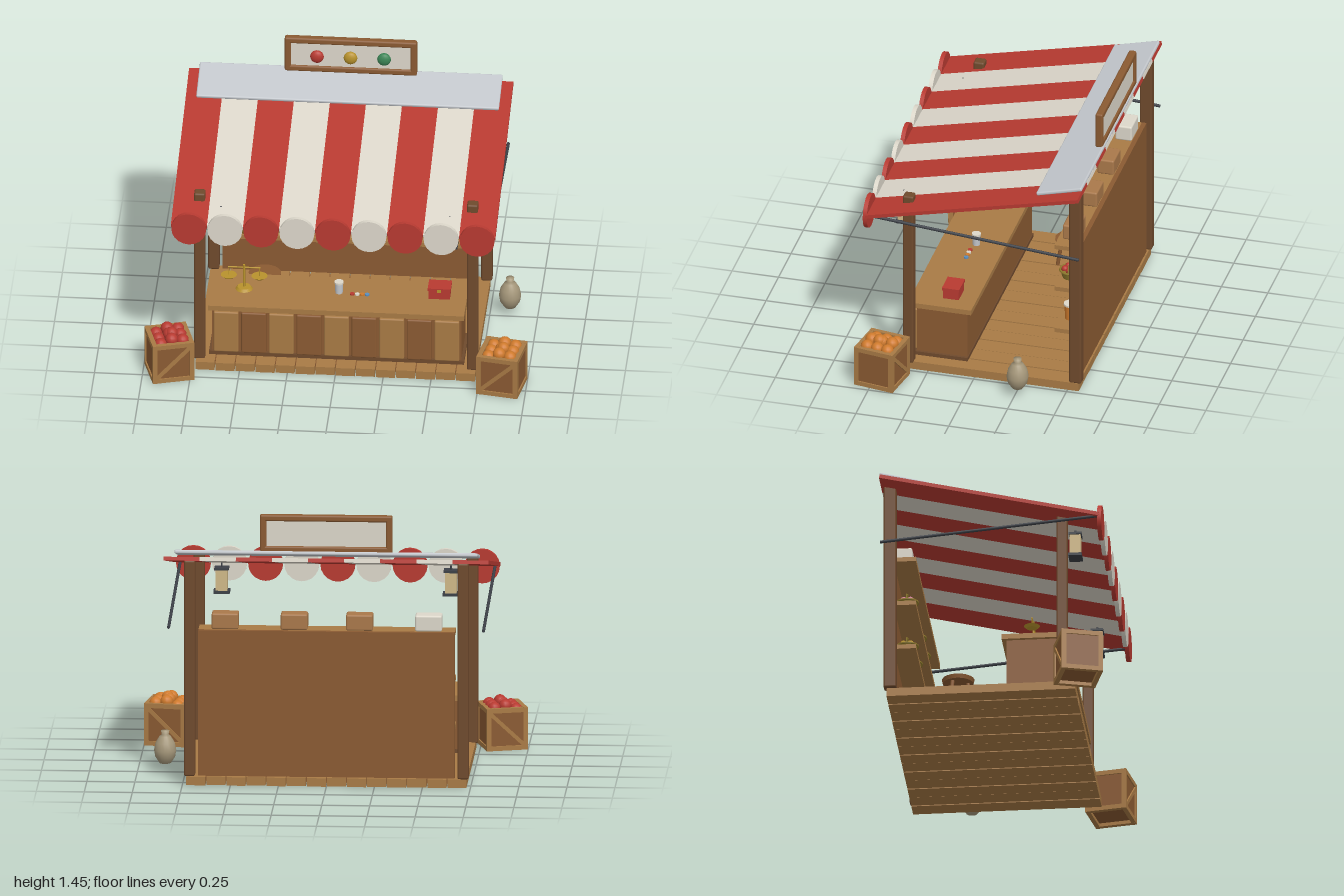
import * as THREE from 'three';
import { RoundedBoxGeometry } from 'three/addons/geometries/RoundedBoxGeometry.js';

const C = {
  wood: 0x8a5a32, light: 0xa87a45, dark: 0x6f4a2d, red: 0xb83a31, white: 0xdcd7ca, gold: 0xb8922c,
  green: 0x3c8556, iron: 0x3c4047, sack: 0xa5977a, orange: 0xcf7a2c, blue: 0x5a8fc0, basket: 0x8f7a2c,
  cap: 0xc4c8cd, pink: 0xc9798f, glass: 0xd0b988, card: 0xa9784a,
};
const mats = {};
const mat = (c) => (mats[c] ??= new THREE.MeshStandardMaterial({ color: C[c] }));

function add(parent, name, geo, color, x = 0, y = 0, z = 0) {
  const m = new THREE.Mesh(geo, mat(color));
  m.name = name;
  m.position.set(x, y, z);
  parent.add(m);
  return m;
}
const box = (p, name, c, w, h, d, x, y, z) => add(p, name, new THREE.BoxGeometry(w, h, d), c, x, y, z);
const soft = (p, name, c, w, h, d, x, y, z, r = 0.01) =>
  add(p, name, new RoundedBoxGeometry(w, h, d, 2, r), c, x, y, z);
const cyl = (p, name, c, rt, rb, h, x, y, z, n = 16) =>
  add(p, name, new THREE.CylinderGeometry(rt, rb, h, n), c, x, y, z);
const ball = (p, name, c, r, x, y, z) => add(p, name, new THREE.SphereGeometry(r, 14, 10), c, x, y, z);

// Round bar between two points
function rod(p, name, c, a, b, r) {
  const A = new THREE.Vector3(...a), B = new THREE.Vector3(...b);
  const dir = B.clone().sub(A);
  const m = cyl(p, name, c, r, r, dir.length(), 0, 0, 0, 10);
  m.position.copy(A).add(B).multiplyScalar(0.5);
  m.quaternion.setFromUnitVectors(new THREE.Vector3(0, 1, 0), dir.normalize());
  return m;
}
function group(parent, name, x = 0, y = 0, z = 0, ry = 0) {
  const g = new THREE.Group();
  g.name = name;
  g.position.set(x, y, z);
  g.rotation.y = ry;
  parent.add(g);
  return g;
}

// Crate with twelve edge battens, diagonal braces and heaped fruit
function crate(parent, name, fruit, x, z, ry) {
  const g = group(parent, name, x, 0, z, ry);
  const s = 0.22, t = 0.024, k = s / 2 - t / 2;
  for (const a of [-1, 1]) {
    box(g, 'crateSide', 'wood', 0.012, 0.19, 0.19, a * 0.097, 0.112, 0);
    box(g, 'crateFace', 'wood', 0.19, 0.19, 0.012, 0, 0.112, a * 0.097);
    const brace = box(g, 'crateBrace', 'light', 0.25, 0.02, 0.012, 0, 0.112, a * 0.104);
    brace.rotation.z = 0.76;
    for (const b of [-1, 1]) {
      box(g, 'crateCorner', 'light', t, 0.225, t, a * k, 0.1125, b * k);
      box(g, 'crateRail', 'light', s - 2 * t, t, t, 0, 0.1125 + a * 0.1, b * k);
      box(g, 'crateRail', 'light', t, t, s - 2 * t, b * k, 0.1125 + a * 0.1, 0);
    }
  }
  box(g, 'crateBottom', 'wood', 0.19, 0.012, 0.19, 0, 0.025, 0);
  for (let i = 0; i < 9; i++) {
    const u = (i % 3) - 1, v = Math.floor(i / 3) - 1;
    ball(g, 'fruit', fruit, 0.034, u * 0.058, 0.205 + 0.024 * ((i * 5) % 3) / 2, v * 0.058);
  }
  ball(g, 'fruit', fruit, 0.032, 0.01, 0.238, 0.01);
}

// Small basket with angular handle
function basket(parent, fruit, x, y, z) {
  const g = group(parent, 'basket', x, y, z);
  cyl(g, 'basketBody', 'basket', 0.055, 0.042, 0.042, 0, 0.021, 0);
  const rim = add(g, 'basketRim', new THREE.TorusGeometry(0.055, 0.006, 6, 18), 'basket', 0, 0.042, 0);
  rim.rotation.x = Math.PI / 2;
  add(g, 'basketHandle', new THREE.TorusGeometry(0.05, 0.004, 5, 4, Math.PI), 'basket', 0, 0.042, 0);
  for (let i = 0; i < 5; i++) {
    const a = i * Math.PI * 0.4;
    ball(g, 'produce', fruit, 0.018, Math.cos(a) * 0.03, 0.048, Math.sin(a) * 0.03);
  }
}

function pot(parent, c, x, y, z, r = 0.03, h = 0.085) {
  const g = group(parent, 'pot', x, y, z);
  cyl(g, 'potBody', c, r, r * 0.88, h, 0, h / 2, 0);
  cyl(g, 'potLid', 'white', r * 1.1, r * 1.1, 0.01, 0, h, 0);
}

export function createModel() {
  const root = new THREE.Group();
  root.name = 'marketStall';

  // Floor planks
  const floor = group(root, 'floor');
  for (let i = 0; i < 14; i++)
    box(floor, 'floorPlank', 'light', 0.099, 0.045, 0.985, -0.68 + i * 0.1046, 0.0245 - (i % 2) * 0.002, -0.068);
  for (const z of [-0.5, -0.05, 0.36]) box(floor, 'floorBearer', 'wood', 1.44, 0.02, 0.05, 0, 0.03, z);

  // Posts, side stays and hanging lanterns
  for (const s of [-1, 1]) {
    soft(root, 'frontPost', 'dark', 0.058, 1.0, 0.058, s * 0.712, 0.54, 0.356);
    soft(root, 'backPost', 'dark', 0.058, 1.15, 0.066, s * 0.712, 0.625, -0.543);
    rod(root, 'sideStay', 'iron', [s * 0.82, 0.945, 0.55], [s * 0.82, 0.845, -0.585], 0.008);
    const lamp = group(root, 'lantern', s * 0.597, 0.81, 0.415);
    box(lamp, 'lanternBase', 'iron', 0.085, 0.015, 0.07, 0, 0.0075, 0);
    box(lamp, 'lanternGlass', 'glass', 0.06, 0.11, 0.056, 0, 0.07, 0);
    box(lamp, 'lanternTop', 'iron', 0.075, 0.012, 0.066, 0, 0.13, 0);
    rod(lamp, 'lanternHook', 'iron', [0, 0.13, 0], [0, 0.18, 0], 0.005);
  }

  // Back wall and shelves
  box(root, 'backWall', 'wood', 1.335, 0.775, 0.025, 0, 0.437, -0.54);
  for (const y of [0.312, 0.562, 0.812]) box(root, 'shelf', 'light', 1.335, 0.024, 0.12, 0, y, -0.473);

  // Counter
  const counter = group(root, 'counter');
  box(counter, 'counterBody', 'wood', 1.3, 0.265, 0.27, 0, 0.198, 0.195);
  box(counter, 'counterTop', 'light', 1.335, 0.028, 0.34, 0, 0.346, 0.205);
  box(counter, 'counterPlinth', 'dark', 1.33, 0.02, 0.29, 0, 0.06, 0.2);
  for (let i = 0; i < 9; i++)
    soft(counter, 'counterSlat', i % 2 ? 'wood' : 'light', 0.13, 0.24, 0.024, -0.576 + i * 0.144, 0.19, 0.34, 0.008);

  // Striped awning with scalloped edge
  const awning = group(root, 'awning');
  for (let i = 0; i < 9; i++) {
    const c = i % 2 ? 'white' : 'red', x = -0.752 + i * 0.188;
    box(awning, 'awningStripe', c, 0.188, 0.02, 1.175, x, 1.079, -0.014).rotation.x = 0.228;
    cyl(awning, 'awningScallop', c, 0.091, 0.091, 0.022, x, 0.935, 0.561, 20).rotation.x = Math.PI / 2;
  }
  soft(awning, 'awningCap', 'cap', 1.58, 0.02, 0.252, 0, 1.22, -0.47, 0.008).rotation.x = 0.25;

  // Sign board with three coloured knobs
  const sign = group(root, 'sign', 0, 1.35, -0.566);
  box(sign, 'signPanel', 'white', 0.64, 0.16, 0.02, 0, 0, 0);
  for (const s of [-1, 1]) {
    soft(sign, 'signRail', 'wood', 0.69, 0.034, 0.04, 0, s * 0.083, 0);
    soft(sign, 'signStile', 'wood', 0.034, 0.2, 0.04, s * 0.328, 0, 0);
  }
  ['red', 'gold', 'green'].forEach((c, i) => {
    ball(sign, 'signKnob', c, 0.036, (i - 1) * 0.175, 0, 0.028).scale.z = 0.6;
  });

  // Goods on the shelves
  const goods = group(root, 'goods');
  [-0.53, -0.17, 0.17, 0.53].forEach((x, i) =>
    soft(goods, 'parcel', i ? 'card' : 'white', 0.14, 0.085, 0.09, x, 0.867, -0.483));
  basket(goods, 'pink', -0.545, 0.574, -0.468);
  basket(goods, 'red', -0.107, 0.574, -0.468);
  basket(goods, 'gold', 0.112, 0.574, -0.468);
  basket(goods, 'red', 0.545, 0.574, -0.468);
  for (const x of [-0.326, 0.326]) pot(goods, 'white', x, 0.574, -0.468);
  basket(goods, 'gold', -0.545, 0.324, -0.468);
  basket(goods, 'red', -0.326, 0.324, -0.468);
  basket(goods, 'blue', 0.112, 0.324, -0.468);
  pot(goods, 'blue', -0.107, 0.324, -0.468, 0.033);
  pot(goods, 'orange', 0.545, 0.324, -0.468, 0.033);

  // Balance scale on the counter
  const scale = group(root, 'balanceScale', -0.495, 0.36, 0.185);
  cyl(scale, 'scaleBase', 'gold', 0.035, 0.045, 0.014, 0, 0.007, 0);
  rod(scale, 'scalePole', 'gold', [0, 0, 0], [0, 0.145, 0], 0.006);
  rod(scale, 'scaleBeam', 'gold', [-0.085, 0.128, 0], [0.085, 0.128, 0], 0.004);
  for (const s of [-1, 1]) {
    cyl(scale, 'scalePan', 'gold', 0.042, 0.028, 0.012, s * 0.08, 0.075, 0);
    rod(scale, 'scaleHanger', 'gold', [s * 0.08, 0.128, 0], [s * 0.08, 0.075, 0], 0.002);
  }

  // Cash box, jar and loose coins
  box(root, 'cashBox', 'red', 0.11, 0.052, 0.085, 0.525, 0.386, 0.168);
  box(root, 'cashBoxLid', 'red', 0.12, 0.014, 0.093, 0.525, 0.417, 0.168);
  box(root, 'cashBoxClasp', 'gold', 0.02, 0.018, 0.006, 0.525, 0.41, 0.214);
  pot(root, 'cap', 0, 0.36, 0.185, 0.022, 0.062);
  ['red', 'white', 'orange', 'blue'].forEach((c, i) =>
    cyl(root, 'token', c, 0.012, 0.012, 0.008, 0.07 + i * 0.026, 0.364, 0.2));

  // Stool behind the counter
  const stool = group(root, 'stool', -0.42, 0, -0.215);
  cyl(stool, 'stoolSeat', 'wood', 0.085, 0.08, 0.022, 0, 0.21, 0, 20);
  for (let i = 0; i < 3; i++) {
    const a = (i * 2 * Math.PI) / 3, c = Math.sin(a), s = Math.cos(a);
    rod(stool, 'stoolLeg', 'wood', [c * 0.05, 0.2, s * 0.05], [c * 0.075, 0.05, s * 0.075], 0.01);
  }

  // Tied sack beside the floor
  const profile = [[0, 0], [0.03, 0.006], [0.052, 0.04], [0.058, 0.075], [0.05, 0.115], [0.03, 0.148],
    [0.018, 0.158], [0.022, 0.178], [0, 0.18]].map(([r, y]) => new THREE.Vector2(r, y));
  add(root, 'sack', new THREE.LatheGeometry(profile, 20), 'sack', 0.855, 0.046, -0.265);

  crate(root, 'orangeCrate', 'orange', 0.873, 0.46, -0.17);
  crate(root, 'appleCrate', 'red', -0.863, 0.455, 0.29);
  return root;
}
